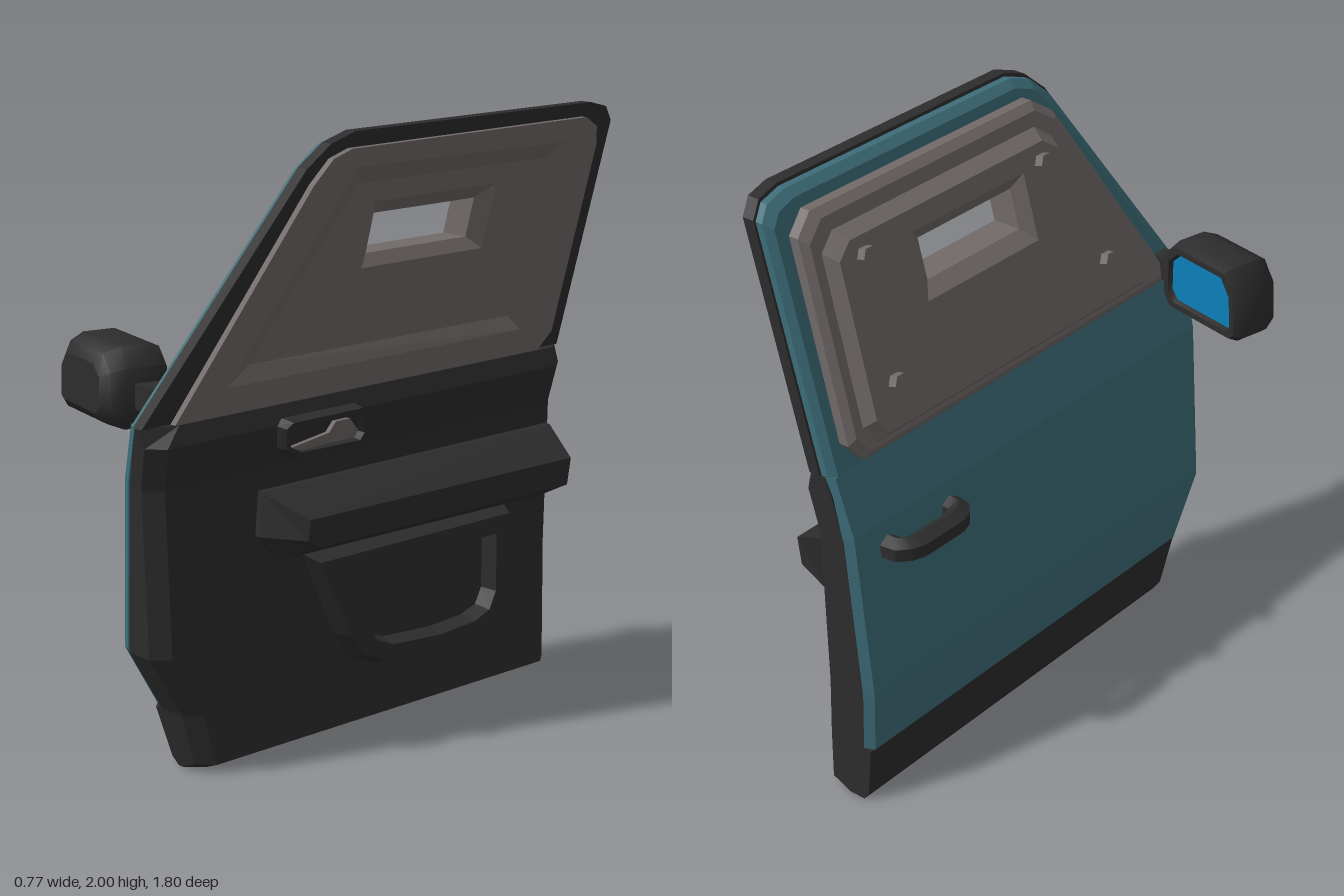
import * as THREE from 'three';
import { toCreasedNormals } from 'three/addons/utils/BufferGeometryUtils.js';

const mat = (name, color) => {
  const m = new THREE.MeshStandardMaterial({ color, side: THREE.DoubleSide });
  m.name = name;
  return m;
};

// Joins rings of [x,y,z] points into a faceted skin; caps are flat along the given axes.
function loft(rings, { axes = [2, 1], start = false, end = false, startHole = null, endHole = null } = {}) {
  const pos = [];
  const tri = (a, b, c) => pos.push(...a, ...b, ...c);
  for (let r = 0; r + 1 < rings.length; r++) {
    const A = rings[r], B = rings[r + 1];
    A.forEach((p, i) => {
      const j = (i + 1) % A.length;
      tri(p, A[j], B[j]);
      tri(p, B[j], B[i]);
    });
  }
  const cap = (ring, hole) => {
    const flat = (ps) => ps.map((p) => new THREE.Vector2(p[axes[0]], p[axes[1]]));
    const all = hole ? [...ring, ...hole] : ring;
    const faces = THREE.ShapeUtils.triangulateShape(flat(ring), hole ? [flat(hole)] : []);
    faces.forEach(([a, b, c]) => tri(all[a], all[b], all[c]));
  };
  if (start) cap(rings[0], startHole);
  if (end) cap(rings[rings.length - 1], endHole);
  const g = new THREE.BufferGeometry();
  g.setAttribute('position', new THREE.Float32BufferAttribute(pos, 3));
  g.computeVertexNormals();
  return g;
}

// Side outline of [z,y] points placed at x, leaning inward with height above y0.
const at = (x, pts, slope = 0, y0 = 0) => pts.map(([z, y]) => [x + slope * (y - y0), y, z]);
const up = (x, pts) => at(x, pts, 0.28, 1.15);

// Shrinks an outline by d on every side of its bounding box.
function inset(pts, d) {
  const fit = [0, 1].map((k) => {
    const v = pts.map((p) => p[k]), lo = Math.min(...v), hi = Math.max(...v);
    return [(lo + hi) / 2, 1 - (2 * d) / (hi - lo)];
  });
  return pts.map((p) => p.map((v, k) => fit[k][0] + (v - fit[k][0]) * fit[k][1]));
}

export function createModel() {
  const dark = mat('dark plastic', 0x2d2d2d);
  const teal = mat('teal paint', 0x3d6e7a);
  const grey = mat('grey armour', 0x716a69);
  const blue = mat('mirror blue', 0x0a80b8);
  const door = new THREE.Group();
  door.name = 'door';
  const add = (name, geo, material, parent = door) => {
    const m = new THREE.Mesh(geo, material);
    m.name = name;
    parent.add(m);
    return m;
  };

  // Lower door body: rows of y, outer x, inner x, front z, front chamfer
  const rows = [
    [0, -0.03, 0.07, 0.66], [0.03, -0.05, 0.14, 0.67], [0.2, -0.065, 0.14, 0.72], [0.205, -0.037, 0.14, 0.722],
    [0.41, -0.042, 0.135, 0.84], [0.95, 0.015, 0.148, 0.87], [1.09, 0.055, 0.19, 0.89], [1.15, 0.08, 0.17, 0.9, 0.12],
  ];
  add('lowerBody', loft(rows.map(([y, o, i, f, c = 0.05]) => [
    [o, -0.9], [o, f - 0.03], [o + 0.03, f], [i - 0.05, f],
    [i, f - c], [i, -0.85], [i - 0.04, -0.9],
  ].map(([x, z]) => [x, y, z])), { axes: [2, 0], start: true, end: true }), dark);

  // Painted outer skin
  add('outerSkin', loft([
    [0.2, -0.067, 0.70], [0.41, -0.072, 0.82], [0.96, -0.012, 0.855], [1.15, 0.055, 0.88],
  ].map(([y, x, f]) => [
    [x + 0.03, -0.9], [x, -0.88], [x, f - 0.01], [x + 0.03, f],
  ].map(([px, z]) => [px, y, z])), { axes: [2, 0], start: true, end: true }), teal);

  // Upper frame, leaning inward
  const outline = [[0.9, 1.15], [0.43, 1.9], [0.35, 1.97], [0.26, 2], [-0.78, 2], [-0.86, 1.98], [-0.9, 1.93], [-0.9, 1.15]];
  const skinLine = [[0.885, 1.15], [0.42, 1.89], [0.345, 1.96], [0.255, 1.99], [-0.775, 1.99], [-0.855, 1.97], [-0.892, 1.925], [-0.892, 1.15]];
  const skinTop = [[0.85, 1.15], [0.4, 1.865], [0.335, 1.935], [0.25, 1.965], [-0.765, 1.965], [-0.835, 1.945], [-0.868, 1.905], [-0.868, 1.15]];
  const gap = [[0.4, 1.4], [0.2, 1.8], [-0.6, 1.8], [-0.6, 1.4]];
  const recess = [[0.61, 1.24], [0.24, 1.89], [-0.68, 1.88], [-0.67, 1.24]];
  add('upperFrame', loft([up(0.1, outline), up(0.142, outline)], {
    start: true, end: true, startHole: up(0.1, gap), endHole: up(0.142, recess),
  }), dark);
  add('upperSkin', loft([up(0.1, skinLine), up(0.075, skinLine), up(0.055, skinTop)], {
    end: true, endHole: up(0.055, gap),
  }), teal);

  // Inner armour plate with sunken field and view slot
  const slot = [[0.07, 1.59], [0.07, 1.72], [-0.37, 1.72], [-0.37, 1.59]];
  const slotWide = [[0.11, 1.55], [0.11, 1.765], [-0.42, 1.765], [-0.42, 1.55]];
  const plate = [[0.79, 1.15], [0.41, 1.85], [0.35, 1.925], [0.28, 1.95], [-0.75, 1.955], [-0.81, 1.92], [-0.83, 1.86], [-0.83, 1.21], [-0.78, 1.15]];
  add('innerPlate', loft([up(0.142, plate), up(0.165, plate)], { end: true, endHole: up(0.165, recess) }), grey);
  const field = [[0.51, 1.295], [0.195, 1.83], [-0.625, 1.83], [-0.62, 1.29]];
  add('innerField', loft([up(0.165, recess), up(0.135, field)], { end: true, endHole: up(0.135, slotWide) }), grey);
  add('viewSlot', loft([up(0.135, slotWide), up(0.1, slot), up(0.0, slot), up(-0.035, slotWide)]), grey);

  // Outer armour plate: a low flange with a raised field, and its bolts
  const flange = [[0.71, 1.18], [0.72, 1.24], [0.36, 1.87], [0.27, 1.93], [-0.75, 1.93], [-0.82, 1.87], [-0.83, 1.24], [-0.78, 1.18]];
  const raised = [[0.59, 1.22], [0.6, 1.29], [0.31, 1.81], [0.24, 1.86], [-0.7, 1.86], [-0.76, 1.81], [-0.77, 1.28], [-0.73, 1.22]];
  add('outerPlate', loft([
    up(0.056, flange), up(0.02, flange), up(0.002, inset(flange, 0.025)), up(0.002, raised), up(-0.035, inset(raised, 0.03)),
  ], { end: true, endHole: up(-0.035, slotWide) }), grey);
  for (const [z, y] of [[-0.63, 1.38], [-0.63, 1.77], [0.4, 1.38], [0.2, 1.77]]) {
    const bolt = add('bolt', new THREE.CylinderGeometry(0.032, 0.032, 0.05, 6).toNonIndexed(), grey);
    bolt.geometry.computeVertexNormals();
    bolt.position.set(-0.04 + 0.28 * (y - 1.15), y, z);
    bolt.rotation.z = Math.PI / 2 - Math.atan(0.28);
  }

  // Armrest
  const restBase = [[0.45, 0.89], [0.46, 0.74], [0.38, 0.65], [-0.8, 0.64], [-0.85, 0.89]];
  const restFace = [[0.38, 0.81], [0.38, 0.74], [0.33, 0.71], [-0.8, 0.705], [-0.8, 0.8]];
  add('armrest', loft([at(0.12, restBase), at(0.165, restBase.map(([z, y]) => [z, y > 0.8 ? 0.88 : y])),
    at(0.302, restFace, 0.15, 0.76)], { end: true }), dark);

  // Door pocket with a raised rim
  const pocket = [[0.27, 0.65], [0.12, 0.34], [0.06, 0.25], [-0.05, 0.205], [-0.3, 0.185], [-0.55, 0.2], [-0.62, 0.26], [-0.65, 0.35], [-0.65, 0.65]];
  const mouth = [[0.12, 0.56], [0.04, 0.39], [-0.01, 0.31], [-0.08, 0.28], [-0.3, 0.265], [-0.46, 0.275], [-0.53, 0.3], [-0.56, 0.36], [-0.56, 0.56]];
  add('doorPocket', loft([at(0.13, pocket), at(0.2, inset(pocket, 0.03)), at(0.2, mouth), at(0.145, inset(mouth, 0.015))],
    { end: true }), dark);

  // Inside door handle
  const tilt = (x, pts) => at(x, pts, 0.3, 0.96);
  const bezel = [[0.41, 1.09], [0.385, 1.11], [0.08, 1.11], [0.03, 1.0], [0.045, 0.965], [0.33, 0.97], [0.39, 1.01]];
  add('handleBezel', loft([tilt(0.14, bezel), tilt(0.19, inset(bezel, 0.008)), tilt(0.19, inset(bezel, 0.024)),
    tilt(0.158, inset(bezel, 0.03))], { end: true }), dark);
  const lever = [[0.36, 1.01], [0.2, 1.035], [0.18, 1.07], [0.12, 1.07], [0.07, 1.02], [0.08, 1.0], [0.3, 0.995]];
  add('handleLever', loft([tilt(0.158, lever), tilt(0.175, lever)], { end: true }), grey);

  // Outside door handle
  const grip = new THREE.CatmullRomCurve3([
    [0.0, -0.74], [-0.06, -0.735], [-0.088, -0.69], [-0.09, -0.6], [-0.088, -0.5], [-0.06, -0.455], [0.0, -0.45],
  ].map(([x, z]) => new THREE.Vector3(x, 0.87, z)), false, 'catmullrom', 0.3);
  add('outsideHandle', toCreasedNormals(new THREE.TubeGeometry(grip, 14, 0.042, 6), 0.5), dark);

  // Wing mirror: rings along its own z, turned slightly outward
  const mirror = new THREE.Group();
  mirror.name = 'wingMirror';
  mirror.position.set(-0.19, 1.228, 0.75);
  mirror.rotation.y = -0.22;
  door.add(mirror);
  const shell = [[-0.19, -0.105], [-0.18, 0.05], [-0.13, 0.128], [0.13, 0.128], [0.185, 0.07], [0.185, -0.08], [0.15, -0.125], [-0.165, -0.125]];
  const ring = (z, s) => inset(shell, s).map(([x, y]) => [x, y, z]);
  add('mirrorHousing', toCreasedNormals(loft([
    ring(-0.085, 0.04), ring(-0.105, 0.034), ring(-0.105, 0.014), ring(-0.075, 0), ring(0.03, 0), ring(0.08, 0.02), ring(0.105, 0.05),
  ], { axes: [0, 1], end: true }), 0.8), dark, mirror);
  add('mirrorGlass', loft([ring(-0.088, 0.039)], { axes: [0, 1], end: true }), blue, mirror);
  add('mirrorArm', new THREE.BoxGeometry(0.13, 0.08, 0.07), dark).position.set(0.03, 1.21, 0.765);

  return door;
}
